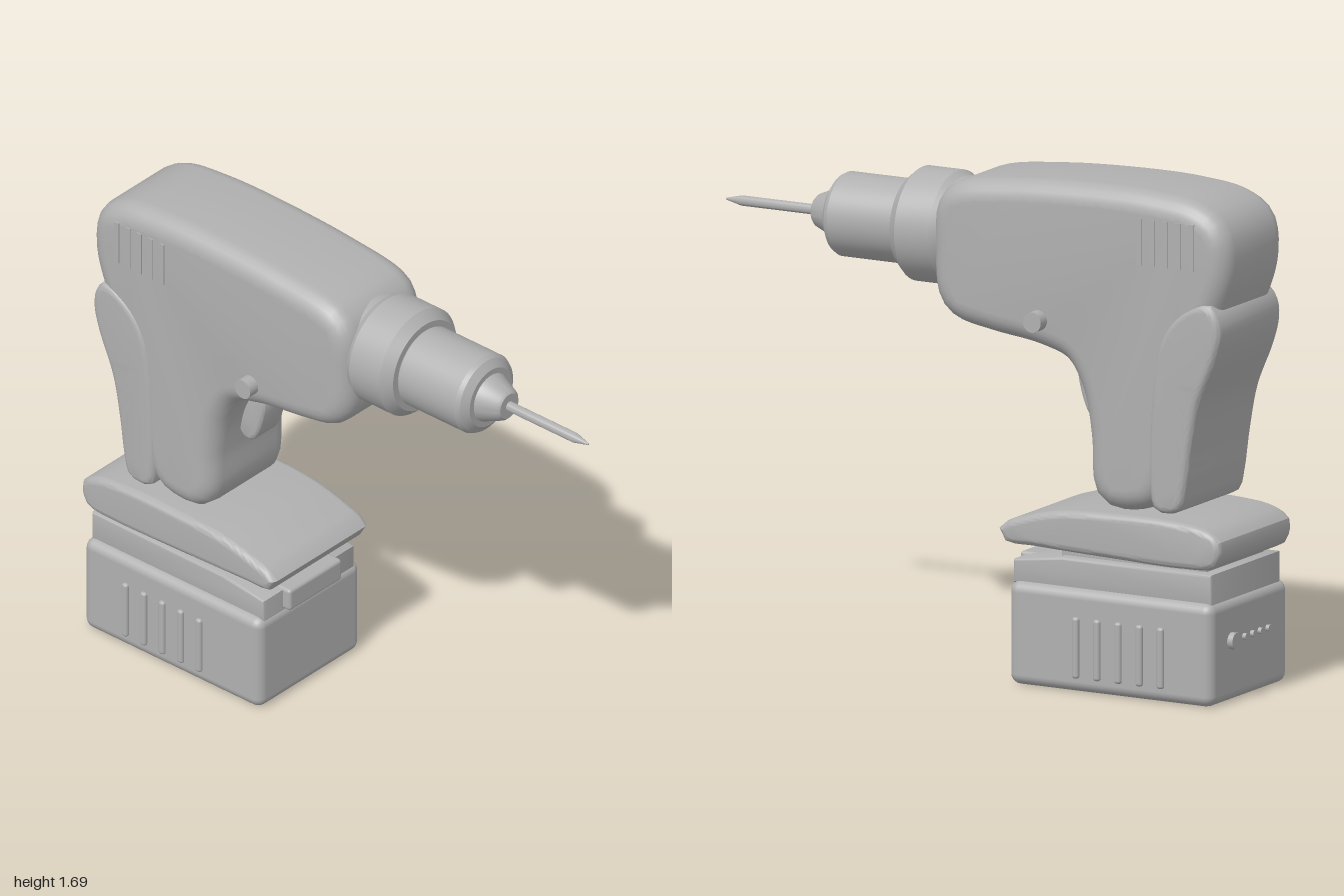
import * as THREE from 'three';
import { toCreasedNormals } from 'three/addons/utils/BufferGeometryUtils.js';
import { RoundedBoxGeometry } from 'three/addons/geometries/RoundedBoxGeometry.js';

const grey = new THREE.MeshStandardMaterial({ color: 0xb0b0b0 });
grey.name = 'plain grey';

export function createModel() {
  const group = new THREE.Group();
  group.name = 'cordlessDrill';

  const add = (name, geometry, x = 0, y = 0, z = 0) => {
    const mesh = new THREE.Mesh(geometry, grey);
    mesh.name = name;
    mesh.position.set(x, y, z);
    group.add(mesh);
    return mesh;
  };

  // Side-profile slab: the core outline grows outward by the rounded bevel
  const slab = (name, core, halfDepth, bevel, samples = 0) => {
    let pts = core.map(([x, y]) => new THREE.Vector2(x, y));
    if (samples) {
      const curve = new THREE.CatmullRomCurve3(pts.map(p => new THREE.Vector3(p.x, p.y, 0)), true);
      pts = curve.getSpacedPoints(samples).slice(0, -1).map(p => new THREE.Vector2(p.x, p.y));
    }
    const depth = 2 * (halfDepth - bevel);
    const geo = new THREE.ExtrudeGeometry(new THREE.Shape(pts), {
      depth, bevelSize: bevel, bevelThickness: bevel, bevelSegments: 6,
    });
    geo.translate(0, 0, -depth / 2);
    return add(name, toCreasedNormals(geo, 0.6));
  };

  // Turned part along +x from [x, radius] points
  const turned = (name, profile, y) => {
    const geo = new THREE.LatheGeometry(profile.map(([x, r]) => new THREE.Vector2(r, x)), 48);
    geo.rotateZ(-Math.PI / 2);
    return add(name, toCreasedNormals(geo, 0.4), 0, y, 0);
  };

  const box = (name, w, h, d, r, x, y, z) =>
    add(name, new RoundedBoxGeometry(w, h, d, 3, r), x, y, z);

  // Motor housing and handle in one shell
  slab('housing', [
    [-0.93, 1.45], [-0.92, 1.55], [-0.86, 1.59], [-0.72, 1.61], [-0.55, 1.615], [-0.2, 1.6],
    [0.02, 1.565], [0.045, 1.53], [0.05, 1.4], [0.04, 1.28], [0.01, 1.245], [-0.1, 1.22],
    [-0.3, 1.19], [-0.43, 1.14], [-0.505, 1.02], [-0.54, 0.85], [-0.55, 0.7], [-0.57, 0.68],
    [-0.64, 0.68], [-0.68, 0.7], [-0.74, 0.9], [-0.8, 1.15], [-0.89, 1.32],
  ], 0.2, 0.07, 140);

  // Rear grip pad
  slab('rearGrip', [
    [-0.95, 1.28], [-0.925, 1.31], [-0.84, 1.27], [-0.78, 1.19], [-0.755, 1.08], [-0.74, 0.9],
    [-0.74, 0.7], [-0.75, 0.65], [-0.78, 0.645], [-0.81, 0.655], [-0.825, 0.71], [-0.845, 0.85],
    [-0.875, 1.0], [-0.935, 1.15], [-0.955, 1.23],
  ], 0.207, 0.025, 90);

  // Trigger
  slab('trigger', [
    [-0.39, 1.06], [-0.376, 1.03], [-0.385, 0.97], [-0.412, 0.9], [-0.43, 0.885],
    [-0.455, 0.9], [-0.47, 0.96], [-0.46, 1.05],
  ], 0.06, 0.015, 50);

  // Foot of the handle
  slab('footPlate', [
    [-0.975, 0.54], [-0.93, 0.565], [-0.8, 0.58], [-0.6, 0.58], [-0.4, 0.57], [-0.27, 0.54],
    [-0.195, 0.51], [-0.2, 0.495], [-0.3, 0.49], [-0.6, 0.48], [-0.85, 0.475], [-0.96, 0.485],
    [-0.975, 0.51],
  ], 0.24, 0.025, 90);

  // Battery with its neck and release clip
  slab('batteryNeck', [
    [-0.955, 0.345], [-0.225, 0.345], [-0.225, 0.405], [-0.4, 0.43], [-0.955, 0.43],
  ], 0.225, 0.01);
  box('batteryPlug', 0.55, 0.08, 0.38, 0.01, -0.65, 0.45, 0);
  box('batteryCase', 0.77, 0.345, 0.505, 0.035, -0.595, 0.1725, 0);
  box('releaseClip', 0.07, 0.08, 0.26, 0.012, -0.22, 0.38, 0);

  for (const side of [1, -1]) {
    const label = side > 0 ? 'front' : 'back';
    // Battery ribs
    for (let i = 0; i < 5; i++)
      box(`${label}Rib${i + 1}`, 0.025, 0.205, 0.03, 0.01, -0.79 + i * 0.08, 0.15, side * 0.25);
    // Cooling vents
    for (let i = 0; i < 5; i++)
      add(`${label}Vent${i + 1}`, new THREE.BoxGeometry(0.02, 0.155, 0.008), -0.875 + i * 0.049, 1.52, side * 0.2);
    // Direction button
    const button = new THREE.CylinderGeometry(0.034, 0.034, 0.08, 32);
    button.rotateX(Math.PI / 2);
    add(`${label}Button`, button, -0.295, 1.215, side * 0.2);
  }

  // Charge button and indicator dots on the battery's rear end
  [[-0.12, 0.028], [-0.04, 0.011], [0.01, 0.011], [0.06, 0.011], [0.11, 0.011]].forEach(([z, r], i) => {
    const dot = new THREE.CylinderGeometry(r, r, 0.03, 20);
    dot.rotateZ(Math.PI / 2);
    add(i ? `indicator${i}` : 'chargeButton', dot, i ? -0.978 : -0.985, 0.205, z);
  });

  // Collar, chuck and bit
  turned('collar', [[0.05, 0], [0.05, 0.17], [0.1, 0.175], [0.125, 0.19], [0.255, 0.19], [0.29, 0.16], [0.29, 0]], 1.443);
  turned('chuck', [[0.28, 0], [0.28, 0.13], [0.295, 0.14], [0.54, 0.14], [0.555, 0.132], [0.575, 0.105],
    [0.575, 0.085], [0.645, 0.055], [0.655, 0.045], [0.655, 0]], 1.443);
  turned('bit', [[0.64, 0], [0.64, 0.017], [0.94, 0.017], [1.0, 0.003], [1.0, 0]], 1.443);

  return group;
}
